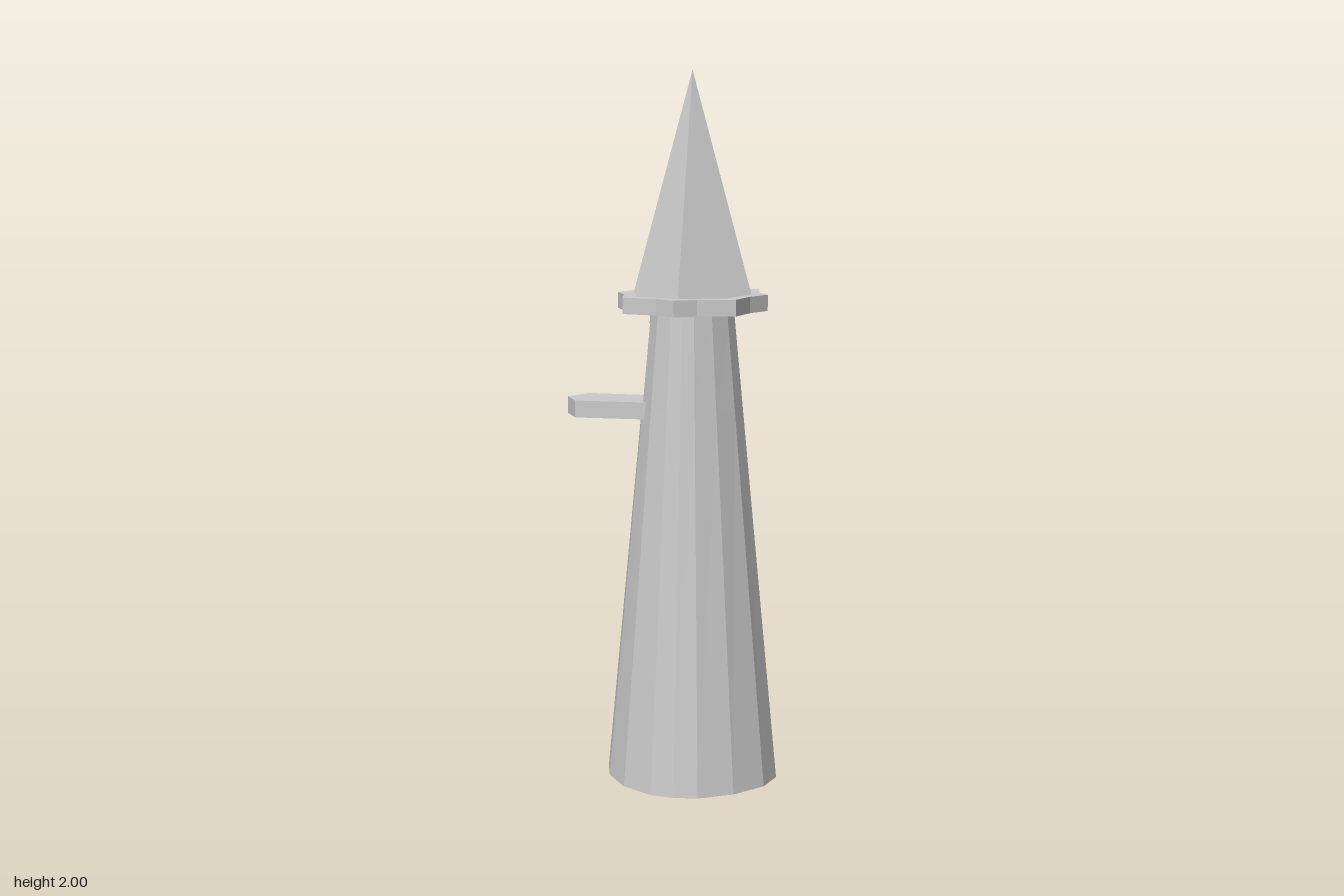
import * as THREE from 'three';

const AXIS_X = 0.057; // the tower axis sits slightly off centre

const material = new THREE.MeshStandardMaterial({ color: 0xcccccc, flatShading: true });
const smoothMaterial = new THREE.MeshStandardMaterial({ color: 0xcccccc });

// Completes a half outline of [x, z] points (from +x over +z to -x) by mirroring it in z
function mirrorZ(half) {
  return [...half, ...half.slice(1, -1).reverse().map(([x, z]) => [x, -z])];
}

const scaled = (outline, sx, sz) => outline.map(([x, z]) => [x * sx, z * sz]);

// Closed solid between two outlines with the same number of points
function loft(lower, y0, upper, y1) {
  const pos = [];
  const n = lower.length;
  const lo = (i) => [lower[i % n][0], y0, lower[i % n][1]];
  const hi = (i) => [upper[i % n][0], y1, upper[i % n][1]];
  for (let i = 0; i < n; i++) {
    pos.push(...lo(i), ...hi(i), ...lo(i + 1), ...lo(i + 1), ...hi(i), ...hi(i + 1));
  }
  const contour = lower.map(([x, z]) => new THREE.Vector2(x, z));
  for (const [a, b, c] of THREE.ShapeUtils.triangulateShape(contour, [])) {
    pos.push(...lo(a), ...lo(b), ...lo(c), ...hi(c), ...hi(b), ...hi(a));
  }
  const geometry = new THREE.BufferGeometry();
  geometry.setAttribute('position', new THREE.Float32BufferAttribute(pos, 3));
  geometry.computeVertexNormals();
  return geometry;
}

// Spire whose two panels in each quadrant share one normal
function spire(outline, y0, y1) {
  const pos = [];
  const n = outline.length;
  const at = (i) => [outline[i % n][0], y0, outline[i % n][1]];
  for (let i = 0; i < n; i++) pos.push(...at(i), 0, y1, 0, ...at(i + 1));
  for (let i = 1; i < n - 1; i++) pos.push(...at(0), ...at(i), ...at(i + 1));
  const geometry = new THREE.BufferGeometry();
  geometry.setAttribute('position', new THREE.Float32BufferAttribute(pos, 3));
  geometry.computeVertexNormals();
  const normals = geometry.attributes.normal;
  for (let q = 0; q < n / 2; q++) {
    const a = new THREE.Vector3().fromBufferAttribute(normals, q * 6);
    const b = new THREE.Vector3().fromBufferAttribute(normals, q * 6 + 3);
    a.add(b).normalize();
    for (let v = 0; v < 6; v++) normals.setXYZ(q * 6 + v, a.x, a.y, a.z);
  }
  return geometry;
}

export function createModel() {
  const model = new THREE.Group();
  model.name = 'tower';
  const add = (name, geometry, mat = material) => {
    const mesh = new THREE.Mesh(geometry, mat);
    mesh.name = name;
    mesh.position.x = AXIS_X;
    model.add(mesh);
  };

  // Sixteen-sided tapering wall
  const base = mirrorZ([
    [0.248, 0], [0.228, 0.087], [0.158, 0.175], [0.067, 0.23], [0, 0.24],
    [-0.067, 0.23], [-0.158, 0.175], [-0.222, 0.085], [-0.247, 0],
  ]);
  const top = 1.34;
  const wallAt = (y) => scaled(base, 1 - 0.52 * y / top, 1 - 0.45 * y / top);
  add('lowerWall', loft(base, 0, wallAt(1.06), 1.06));

  // Storey with a doorway recessed into the right side
  const recessed = (y) => {
    const ring = wallAt(y);
    const inner = [ring[7], ring[9]].map(([x, z]) => [x + 0.07, z]);
    return [...ring.slice(0, 8), ...inner, ...ring.slice(9)];
  };
  add('doorwayWall', loft(recessed(1.06), 1.06, recessed(1.3), 1.3));
  add('lintelWall', loft(wallAt(1.3), 1.3, wallAt(top), top));

  // Pointed balcony slab in front of the doorway
  const slab = mirrorZ([[-0.05, 0], [-0.05, 0.073], [-0.319, 0.08], [-0.362, 0]]);
  add('balcony', loft(slab, 1.036, slab, 1.084));

  // Eight-pointed parapet ledge
  const star = mirrorZ([
    [0.214, 0], [0.178, 0.072], [0.158, 0.173], [0.056, 0.197], [0, 0.237],
    [-0.057, 0.197], [-0.157, 0.173], [-0.178, 0.072], [-0.214, 0],
  ]);
  add('ledge', loft(star, top, star, 1.385));

  // Pointed roof
  const eaves = mirrorZ([[0.168, 0], [0.123, 0.135], [0, 0.185], [-0.123, 0.135], [-0.168, 0]]);
  add('roof', spire(eaves, 1.385, 2), smoothMaterial);

  return model;
}
